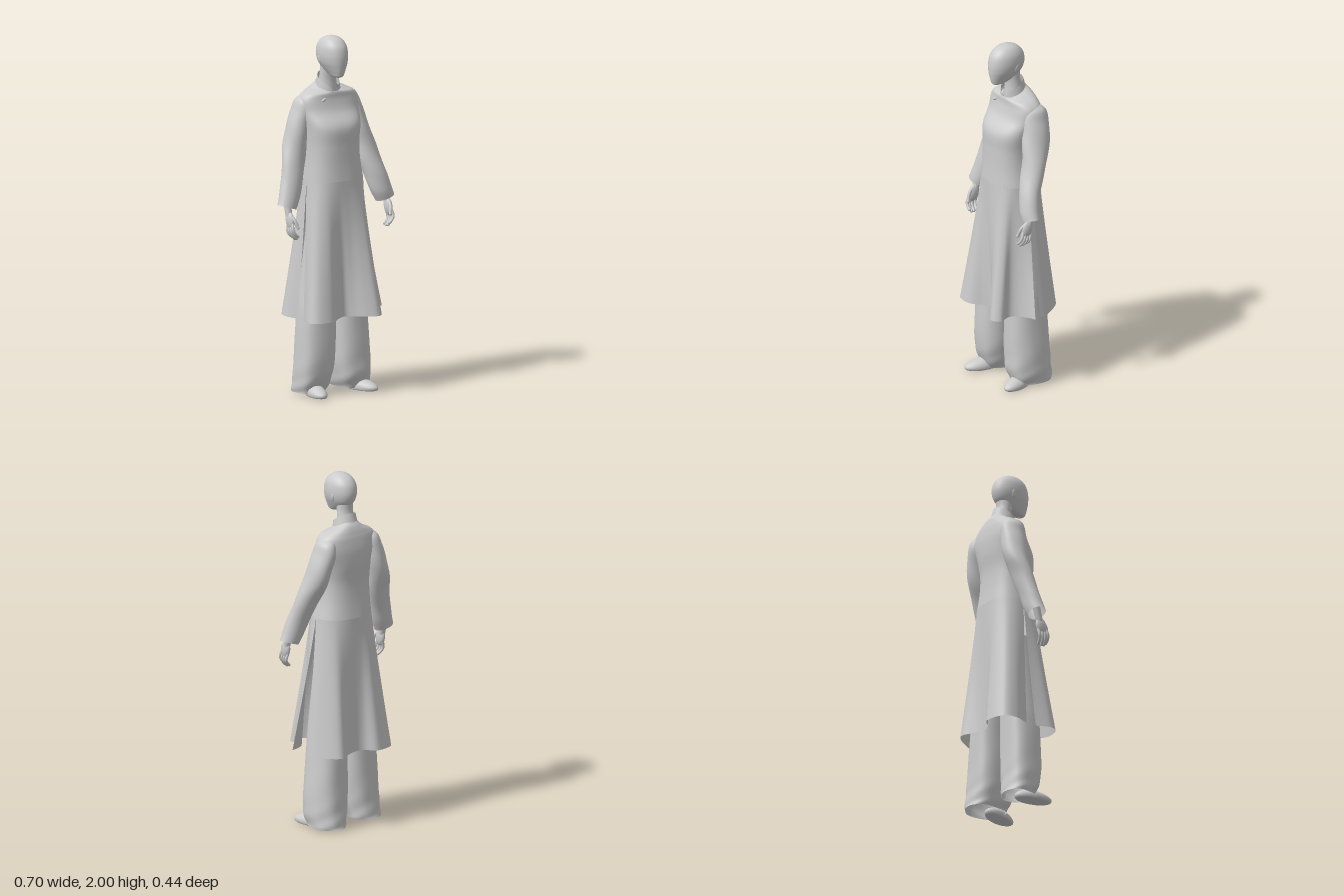
import * as THREE from 'three';

const skin = new THREE.MeshStandardMaterial({ color: 0xcccccc });
const cloth = new THREE.MeshStandardMaterial({ color: 0xcccccc, side: THREE.DoubleSide });

function mesh(parent, name, geometry, material = skin) {
  const m = new THREE.Mesh(geometry, material);
  m.name = name;
  parent.add(m);
  return m;
}

// Grid surface: fn(u, v) gives a point, u runs around and v runs downwards
function surface(nu, nv, fn, closed) {
  const pos = [], idx = [], cols = closed ? nu : nu + 1;
  for (let j = 0; j <= nv; j++)
    for (let i = 0; i < cols; i++) pos.push(...fn(i / nu, j / nv));
  for (let j = 0; j < nv; j++)
    for (let i = 0; i < nu; i++) {
      const a = j * cols + i, b = j * cols + ((i + 1) % cols);
      idx.push(a, b, a + cols, b, b + cols, a + cols);
    }
  const g = new THREE.BufferGeometry();
  g.setAttribute('position', new THREE.Float32BufferAttribute(pos, 3));
  g.setIndex(idx);
  g.computeVertexNormals();
  return g;
}

// Smooth interpolation through rows of numbers
function spline(rows, v) {
  const n = rows.length - 1, k = Math.min(Math.floor(v * n), n - 1), t = v * n - k;
  const at = (i) => rows[Math.max(0, Math.min(n, i))];
  return rows[k].map((b, i) => {
    const a = at(k - 1)[i], c = at(k + 1)[i], d = at(k + 2)[i];
    return b + 0.5 * t * (c - a + t * (2 * a - 5 * b + 4 * c - d + t * (3 * (b - c) + d - a)));
  });
}

// Point on a rounded cross-section row [y, x min, x max, z min, z max]
function ringPoint([y, x0, x1, z0, z1], u, power = 0.8, bulge = 0) {
  const a = u * Math.PI * 2;
  const round = (s) => Math.sign(s) * Math.abs(s) ** power * (1 + bulge);
  return [(x0 + x1) / 2 + round(Math.cos(a)) * (x1 - x0) / 2, y,
    (z0 + z1) / 2 + round(Math.sin(a)) * (z1 - z0) / 2];
}

// Closed loft with optional folds, a slanting lower end and a forward-sloping top
function loft(rows, { nu = 48, nv = 48, power = 0.8, fold = () => 0, slant = 0, slope = 0 } = {}) {
  return surface(nu, nv, (u, v) => {
    const row = spline(rows, v);
    const p = ringPoint(row, u, power, fold(u * Math.PI * 2, v));
    p[1] += slant * v * v * (p[0] - (row[1] + row[2]) / 2);
    p[1] -= slope * Math.max(0, 1 - 4 * v) * (p[2] + 0.05);
    return p;
  }, true);
}

function ellipsoid(rx, ry, rz) {
  return new THREE.SphereGeometry(1, 24, 16).scale(rx, ry, rz);
}

function tube(points, radius) {
  const curve = new THREE.CatmullRomCurve3(points.map((p) => new THREE.Vector3(...p)));
  return new THREE.TubeGeometry(curve, 10, radius, 8);
}

function addHead(root) {
  const head = new THREE.Group();
  head.name = 'head';
  root.add(head);
  const rows = [ // y, half width, z back, z front
    [2, 0.001, -0.001, 0.001], [1.994, 0.03, -0.035, 0.037], [1.978, 0.053, -0.07, 0.07],
    [1.945, 0.071, -0.098, 0.098], [1.9, 0.076, -0.108, 0.11], [1.86, 0.07, -0.1, 0.111],
    [1.83, 0.057, -0.08, 0.108], [1.8, 0.04, -0.04, 0.102], [1.78, 0.026, 0.015, 0.092],
    [1.771, 0.001, 0.06, 0.064],
  ].map(([y, w, b, f]) => [y, -0.014 - w, -0.014 + w, b, f]);
  mesh(head, 'skull', loft(rows, { nv: 54, power: 0.95 }));
  mesh(head, 'neck', loft([
    [1.86, -0.06, 0.032, -0.085, 0.02], [1.8, -0.06, 0.032, -0.08, 0.005],
    [1.75, -0.062, 0.036, -0.09, 0], [1.68, -0.068, 0.042, -0.1, 0.005]], { power: 1 }));
  for (const s of [1, -1]) {
    const ear = mesh(head, 'ear', ellipsoid(0.006, 0.024, 0.012));
    ear.position.set(-0.014 + s * 0.069, 1.87, -0.018);
    ear.rotation.set(-0.2, 0, -s * 0.2);
  }
}

function addTunic(root) {
  const tunic = new THREE.Group();
  tunic.name = 'tunic';
  root.add(tunic);
  const body = [
    [1.718, -0.074, 0.05, -0.11, 0.022], [1.702, -0.1, 0.09, -0.128, 0.027],
    [1.677, -0.158, 0.148, -0.142, 0.029], [1.64, -0.184, 0.177, -0.15, 0.033],
    [1.58, -0.182, 0.175, -0.157, 0.054], [1.5, -0.168, 0.158, -0.155, 0.108],
    [1.4, -0.16, 0.145, -0.143, 0.112], [1.3, -0.162, 0.15, -0.145, 0.115],
    [1.2, -0.17, 0.168, -0.155, 0.122],
  ];
  mesh(tunic, 'bodice', loft(body, { nu: 64, slope: 0.4 }), cloth);

  // Skirt panels spread from the waist ring to a folded hem, leaving side slits
  const hems = {
    frontPanel: [[0.295, 0.03], [0.24, 0.05], [0.192, 0.083], [0.172, 0.125], [0.19, 0.185], [0.15, 0.22],
      [0.09, 0.19], [0.04, 0.14], [0, 0.11], [-0.05, 0.13], [-0.12, 0.178], [-0.21, 0.17],
      [-0.245, 0.12], [-0.22, 0.03]],
    backPanel: [[-0.22, -0.03], [-0.245, -0.11], [-0.22, -0.185], [-0.11, -0.218], [-0.05, -0.17],
      [0, -0.16], [0.06, -0.178], [0.13, -0.218], [0.18, -0.19], [0.235, -0.1], [0.245, -0.04]],
  };
  Object.entries(hems).forEach(([name, points], side) => {
    const hem = new THREE.SplineCurve(points.map((p) => new THREE.Vector2(...p)));
    mesh(tunic, name, surface(70, 30, (u, v) => {
      const [x, , z] = ringPoint(body[8], (u + side) / 2);
      const h = hem.getPointAt(u), spread = v ** 1.1;
      const lift = 0.01 * Math.sin(u * Math.PI) + (side ? 0 : 0.025 * (1 - u) ** 3);
      return [x + (h.x - x) * spread, 1.2 + (lift - 0.775) * v, z + (h.y - z) * spread];
    }, false), cloth);
  });

  // Standing collar, open in a small V at the front
  mesh(tunic, 'collar', surface(48, 6, (u, v) => {
    const a = Math.PI / 2 + 0.06 + u * (Math.PI * 2 - 0.12);
    const front = Math.sin(a), flare = 1 + 0.16 * v;
    const notch = 0.03 * Math.max(0, front) ** 12 * (1 - v);
    return [-0.012 + Math.cos(a) * 0.06 * flare,
      1.754 - 0.034 * front - notch - 0.052 * v, -0.036 - 0.006 * v + front * 0.062 * flare];
  }, false), cloth);

  // Knotted fastening on the overlap
  const knot = mesh(tunic, 'knotButton', ellipsoid(0.016, 0.008, 0.007));
  knot.position.set(-0.085, 1.648, 0.028);
  knot.rotation.z = 0.5;
}

function addArm(root, s) {
  const arm = new THREE.Group();
  arm.name = s > 0 ? 'leftArm' : 'rightArm';
  root.add(arm);
  // Sleeve rows; the right arm hangs further back
  const rows = [
    [1.668, 0.12, 0.15, -0.1, -0.05], [1.64, 0.1, 0.19, -0.138, -0.012],
    [1.58, 0.1, 0.212, -0.152, 0.004], [1.5, 0.112, 0.238, -0.143, 0.02],
    [1.4, 0.132, 0.266, -0.115, 0.035], [1.3, 0.155, 0.29, -0.065, 0.06],
    [1.2, 0.185, 0.312, -0.022, 0.09], [1.12, 0.212, 0.332, 0, 0.105],
    [1.065, 0.24, 0.35, 0.012, 0.105],
  ].map(([y, x0, x1, z0, z1], i) => {
    const back = s < 0 ? 0.075 * Math.min(1, Math.max(0, (i - 2) / 4.5)) : 0;
    const slim = s < 0 ? 0.02 * Math.sin(Math.PI * i / 8) : 0;
    return [y, s > 0 ? x0 : -x1 - 0.004, s > 0 ? x1 : -x0 - 0.004, z0 - back, z1 - back - slim];
  });
  const fold = (a, v) => 0.03 * Math.sin(2 * a + v * 24) * Math.sin(Math.PI * v);
  mesh(arm, 'sleeve', loft(rows, { power: 1, fold, slant: s * 0.3 }), cloth);

  // Hand with curled fingers
  const hand = new THREE.Group();
  hand.name = 'hand';
  hand.position.set(s * 0.298, s > 0 ? 1.07 : 1.045, s > 0 ? 0.07 : -0.005);
  hand.rotation.x = -0.25;
  arm.add(hand);
  mesh(hand, 'wrist', new THREE.CylinderGeometry(0.022, 0.019, 0.1, 16)).position.y = 0.02;
  mesh(hand, 'palm', ellipsoid(0.018, 0.05, 0.034)).position.set(0, -0.055, 0.005);
  for (let i = 0; i < 4; i++) {
    const z = -0.02 + i * 0.016, len = 1 - 0.1 * Math.abs(i - 1.6);
    mesh(hand, 'finger', tube([[0, -0.07, z], [s * 0.007, -0.07 - 0.045 * len, z * 1.15],
      [-s * 0.006, -0.07 - 0.075 * len, z * 1.1], [-s * 0.022, -0.07 - 0.09 * len, z]], 0.0085));
    mesh(hand, 'fingertip', ellipsoid(0.0085, 0.0085, 0.0085))
      .position.set(-s * 0.022, -0.07 - 0.09 * len, z);
  }
  mesh(hand, 'thumb', tube([[0, -0.025, 0.02], [-s * 0.008, -0.06, 0.042], [-s * 0.018, -0.1, 0.046]], 0.009));
  mesh(hand, 'thumbTip', ellipsoid(0.009, 0.009, 0.009)).position.set(-s * 0.018, -0.1, 0.046);
}

function addLeg(root, name, rows, shoeX, shoeZ, turn) {
  const leg = new THREE.Group();
  leg.name = name;
  root.add(leg);
  const fold = (a, v) => v * v * (0.03 * Math.sin(5 * a + v * 3) + 0.025 * Math.sin(3 * a - v * 30) * v);
  mesh(leg, 'trouserLeg', loft(rows, { fold }), cloth);
  // Flat-soled slipper
  const g = ellipsoid(0.05, 0.045, 0.11);
  const p = g.attributes.position;
  for (let i = 0; i < p.count; i++) {
    const y = p.getY(i), z = p.getZ(i);
    p.setY(i, Math.max(y * (1 - 2.5 * Math.max(0, z)), -0.015));
  }
  g.computeVertexNormals();
  const shoe = mesh(leg, 'shoe', g);
  shoe.position.set(shoeX, 0.015, shoeZ);
  shoe.rotation.y = turn;
}

export function createModel() {
  const root = new THREE.Group();
  root.name = 'robedFigure';
  addHead(root);
  addTunic(root);
  addArm(root, 1);
  addArm(root, -1);
  addLeg(root, 'leftLeg', [
    [1, 0, 0.14, -0.11, 0.07], [0.6, 0.008, 0.195, -0.146, 0.075], [0.43, 0.01, 0.21, -0.153, 0.08],
    [0.2, 0.012, 0.23, -0.162, 0.083], [0.08, 0.025, 0.232, -0.17, 0.08], [0.012, 0.045, 0.222, -0.18, 0.05]],
  0.155, 0.045, 0.28);
  addLeg(root, 'rightLeg', [
    [1, -0.14, 0, -0.1, 0.08], [0.6, -0.2, -0.008, -0.1, 0.09], [0.43, -0.222, -0.01, -0.102, 0.098],
    [0.2, -0.234, -0.018, -0.108, 0.1], [0.08, -0.236, -0.035, -0.114, 0.08], [0.012, -0.232, -0.055, -0.124, 0.045]],
  -0.155, 0.058, -0.2);
  return root;
}
